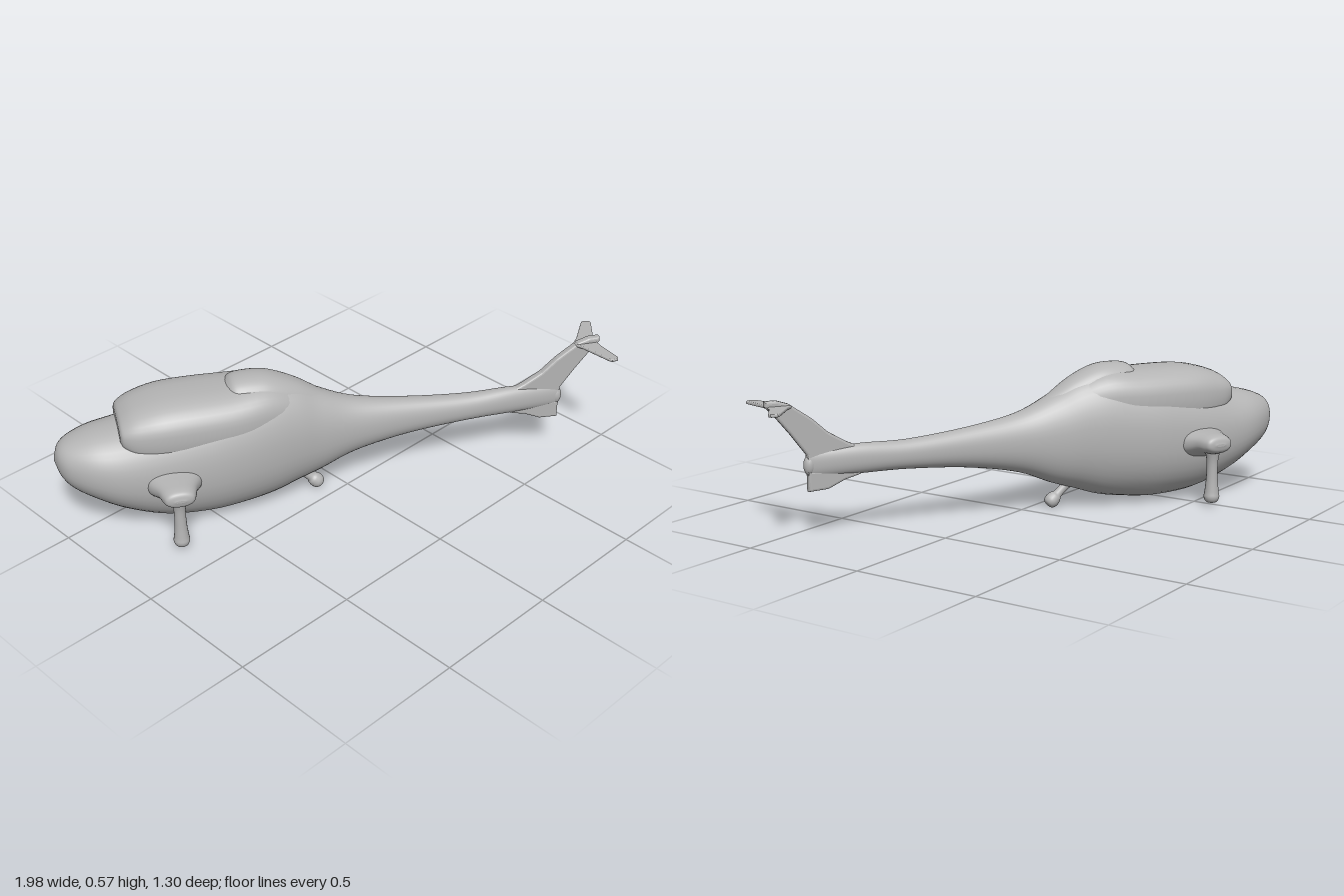
import * as THREE from 'three';

const skin = new THREE.MeshStandardMaterial({ color: 0xb4b4b4 });
skin.name = 'plain grey';

// Smooth hull along +x from stations [x, bottom, top, halfWidth], closed at both ends
function loft(stations, power = 2.2, steps = 5, sides = 40) {
  const a = new THREE.CatmullRomCurve3(stations.map(s => new THREE.Vector3(s[0], s[1], s[2])), false, 'catmullrom', 0.5);
  const b = new THREE.CatmullRomCurve3(stations.map(s => new THREE.Vector3(s[3], 0, 0)), false, 'catmullrom', 0.5);
  const rings = (stations.length - 1) * steps;
  const pos = [], index = [];
  const bend = v => Math.sign(v) * Math.abs(v) ** (2 / power);
  for (let i = 0; i <= rings; i++) {
    const p = a.getPoint(i / rings), w = Math.max(b.getPoint(i / rings).x, 0.001);
    const mid = (p.y + p.z) / 2, h = (p.z - p.y) / 2;
    for (let j = 0; j < sides; j++) {
      const t = j / sides * Math.PI * 2;
      pos.push(p.x, mid + h * bend(Math.sin(t)), w * bend(Math.cos(t)));
    }
  }
  for (let i = 0; i < rings; i++) for (let j = 0; j < sides; j++) {
    const k = (j + 1) % sides, r = i * sides, n = r + sides;
    index.push(r + j, n + j, r + k, r + k, n + j, n + k);
  }
  // end caps with their own vertices so the rims stay crisp
  for (const [ring, flip] of [[0, true], [rings, false]]) {
    const start = pos.length / 3, from = ring * sides;
    for (let j = 0; j < sides; j++) pos.push(...pos.slice((from + j) * 3, (from + j) * 3 + 3));
    const s = stations[ring ? stations.length - 1 : 0];
    pos.push(s[0], (s[1] + s[2]) / 2, 0);
    for (let j = 0; j < sides; j++) {
      const u = start + j, v = start + (j + 1) % sides;
      index.push(start + sides, flip ? u : v, flip ? v : u);
    }
  }
  const g = new THREE.BufferGeometry();
  g.setAttribute('position', new THREE.Float32BufferAttribute(pos, 3));
  g.setIndex(index);
  g.computeVertexNormals();
  return g;
}

function plate(points, thickness, bevel) {
  const shape = new THREE.Shape(points.map(p => new THREE.Vector2(p[0], p[1])));
  const g = new THREE.ExtrudeGeometry(shape, {
    depth: thickness, bevelEnabled: true, bevelSize: bevel, bevelThickness: bevel, bevelOffset: -bevel, bevelSegments: 3
  });
  return g.translate(0, 0, -thickness / 2);
}

// Rounded strut hanging down from y = 0 with a thicker foot
function strut(length, top, foot) {
  const pts = [[0, -length], [foot * 0.7, -length + foot * 0.2], [foot, -length + foot * 0.8],
    [foot * 0.9, -length + foot * 1.6], [top, -length * 0.55], [top, -length * 0.25], [top * 1.5, 0]];
  const curve = new THREE.SplineCurve(pts.map(p => new THREE.Vector2(p[0], p[1])));
  return new THREE.LatheGeometry(curve.getPoints(30).map(p => p.setX(Math.max(p.x, 0))), 20);
}

export function createModel() {
  const model = new THREE.Group();
  const craft = new THREE.Group();
  craft.name = 'helicopterHull';
  // nose points along local -x, the whole craft stands diagonally
  craft.rotation.y = -Math.PI / 6;
  craft.position.z = -0.022;
  model.add(craft);
  const add = (name, geometry) => {
    const mesh = new THREE.Mesh(geometry, skin);
    mesh.name = name;
    craft.add(mesh);
    return mesh;
  };

  // Fuselage and tail boom
  add('fuselage', loft([
    [-1.118, 0.31, 0.33, 0.006], [-1.1, 0.255, 0.372, 0.06], [-1.06, 0.205, 0.4, 0.104],
    [-0.98, 0.152, 0.425, 0.148], [-0.87, 0.09, 0.445, 0.175], [-0.72, 0.036, 0.49, 0.193],
    [-0.55, 0.02, 0.525, 0.195], [-0.42, 0.03, 0.54, 0.183], [-0.3, 0.05, 0.548, 0.162],
    [-0.2, 0.083, 0.52, 0.137], [-0.1, 0.115, 0.465, 0.108], [0.04, 0.17, 0.405, 0.078],
    [0.25, 0.21, 0.367, 0.056], [0.5, 0.23, 0.343, 0.044], [0.7, 0.232, 0.345, 0.034], [0.89, 0.235, 0.33, 0.018]
  ]));

  // Roof cowling with its lip above the windscreen
  add('roofCowling', loft([
    [-0.875, 0.4, 0.472, 0.105], [-0.86, 0.37, 0.495, 0.13], [-0.8, 0.32, 0.527, 0.155], [-0.68, 0.3, 0.55, 0.172],
    [-0.46, 0.3, 0.551, 0.165], [-0.3, 0.3, 0.548, 0.135], [-0.15, 0.3, 0.48, 0.08]
  ], 2.6));

  // Engine hump behind the roof
  add('engineHump', loft([
    [-0.46, 0.45, 0.548, 0.07], [-0.425, 0.43, 0.574, 0.09], [-0.34, 0.42, 0.577, 0.093],
    [-0.27, 0.4, 0.562, 0.088], [-0.18, 0.36, 0.52, 0.075], [-0.08, 0.34, 0.455, 0.05], [0.02, 0.33, 0.405, 0.03]
  ]));

  // Side sponsons and main landing legs
  for (const side of [-1, 1]) {
    const name = side > 0 ? 'left' : 'right';
    const pod = add(name + 'Sponson', loft([
      [0.12, 0.17, 0.325, 0.13], [0.19, 0.2, 0.312, 0.1], [0.24, 0.222, 0.308, 0.075],
      [0.285, 0.228, 0.304, 0.062], [0.308, 0.24, 0.295, 0.05], [0.316, 0.262, 0.272, 0.02]
    ], 2.3));
    pod.rotation.y = -side * Math.PI / 2;
    pod.position.x = -0.695;
    const leg = add(name + 'LandingLeg', strut(0.23, 0.023, 0.031));
    leg.position.set(-0.695, 0.252, side * 0.255);
  }

  // Tail skid leaning backwards
  const skid = add('tailSkid', strut(0.14, 0.018, 0.029));
  skid.position.set(-0.195, 0.115, 0);
  skid.rotation.z = 0.83;

  // Upright fin, lower fin and hub at the end of the boom
  add('tailFin', plate([
    [0.68, 0.33], [0.74, 0.358], [0.81, 0.4], [0.87, 0.455], [0.955, 0.515], [1.0, 0.53], [1.045, 0.53],
    [1.045, 0.51], [1.015, 0.48], [0.955, 0.405], [0.893, 0.32], [0.89, 0.25], [0.7, 0.25]
  ], 0.014, 0.009));
  add('lowerFin', plate([
    [0.66, 0.25], [0.69, 0.23], [0.75, 0.215], [0.815, 0.186], [0.89, 0.182], [0.89, 0.26]
  ], 0.016, 0.009));
  const hub = add('tailHub', new THREE.SphereGeometry(1, 20, 14));
  hub.scale.set(0.022, 0.038, 0.022);
  hub.position.set(0.882, 0.28, 0);

  // Swept tailplane on top of the fin
  const half = [[0.945, 0.012], [0.965, 0.035], [1.03, 0.148], [1.04, 0.156], [1.065, 0.152], [1.07, 0.14], [1.04, 0.045], [1.035, 0.02]];
  const plane = add('tailplane', plate([...half, ...half.map(p => [p[0], -p[1]]).reverse()], 0.004, 0.004));
  plane.rotation.x = Math.PI / 2;
  plane.position.y = 0.505;
  return model;
}
